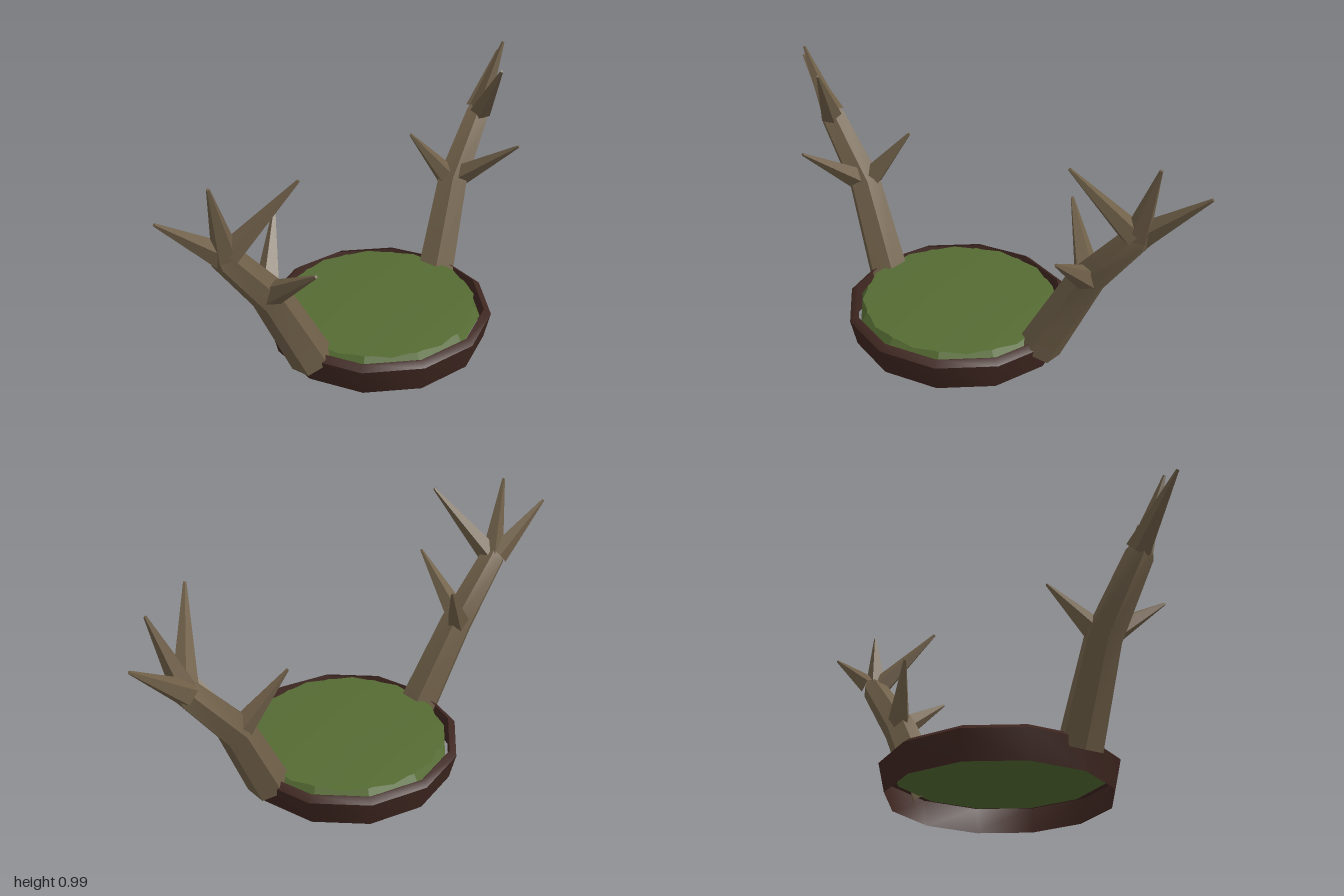
import * as THREE from 'three';
import { toCreasedNormals } from 'three/addons/utils/BufferGeometryUtils.js';

// Tapering branch: stations are [x, y, z, radius]; each cross-section is a regular polygon.
// The root is left open, the far end is capped.
function branchGeometry(stations, sides, mirror) {
  const centres = stations.map(([x, y, z]) => new THREE.Vector3(x * mirror, y, z));
  const rings = centres.map((c, i) => {
    const before = centres[Math.max(i - 1, 0)];
    const after = centres[Math.min(i + 1, centres.length - 1)];
    const t = after.clone().sub(before).normalize();
    const n = new THREE.Vector3(0, 0, 1);
    n.addScaledVector(t, -n.dot(t)).normalize();
    const b = t.clone().cross(n);
    return Array.from({ length: sides }, (_, k) => {
      const a = (k / sides) * Math.PI * 2;
      const r = stations[i][3];
      return c.clone().addScaledVector(n, Math.cos(a) * r).addScaledVector(b, Math.sin(a) * r);
    });
  });
  const pos = [];
  const tri = (...corners) => corners.forEach((p) => pos.push(p.x, p.y, p.z));
  const last = rings.length - 1;
  for (let k = 0; k < sides; k++) {
    const m = (k + 1) % sides;
    for (let i = 0; i < last; i++) {
      tri(rings[i][k], rings[i][m], rings[i + 1][m]);
      tri(rings[i][k], rings[i + 1][m], rings[i + 1][k]);
    }
    tri(centres[last], rings[last][k], rings[last][m]);
  }
  const geo = new THREE.BufferGeometry();
  geo.setAttribute('position', new THREE.Float32BufferAttribute(pos, 3));
  return toCreasedNormals(geo, 0.7);
}

export function createModel() {
  const bark = new THREE.MeshStandardMaterial({ name: 'bark', color: 0x706049 });
  const darkWood = new THREE.MeshStandardMaterial({
    name: 'dark wood', color: 0x3e2620, side: THREE.DoubleSide,
  });
  const moss = new THREE.MeshStandardMaterial({ name: 'moss', color: 0x556b33 });

  const model = new THREE.Group();
  model.name = 'antlerCrown';
  const add = (parent, name, geo, mat) => {
    const mesh = new THREE.Mesh(geo, mat);
    mesh.name = name;
    parent.add(mesh);
    return mesh;
  };

  // Thin open twelve-sided band with a bevelled upper rim
  const profile = [[0.43, 0], [0.455, 0.11], [0.43, 0.13], [0.426, 0.13]]
    .map(([r, y]) => new THREE.Vector2(r, y));
  add(model, 'band', toCreasedNormals(new THREE.LatheGeometry(profile, 12), 0.7), darkWood);

  // Moss pad: a sloping skirt with a flat underside, topped by a very shallow cone
  const skirt = toCreasedNormals(new THREE.CylinderGeometry(0.385, 0.41, 0.038, 12), 0.3);
  add(model, 'mossSkirt', skirt, moss).position.y = 0.116;
  const top = new THREE.ConeGeometry(0.392, 0.02, 12, 1, true, Math.PI / 12);
  add(model, 'mossTop', toCreasedNormals(top, 0.3), moss).position.y = 0.145;

  // Tines as [base, tip]
  const tines = {
    outerTine: [[0.775, 0.695, -0.065, 0.048], [0.995, 0.89, -0.107, 0.006]],
    upperTine: [[0.765, 0.695, -0.045, 0.048], [0.858, 0.99, 0, 0.006]],
    frontTine: [[0.755, 0.705, -0.03, 0.046], [0.608, 0.968, 0.15, 0.006]],
    innerTine: [[0.565, 0.45, -0.06, 0.05], [0.415, 0.677, -0.154, 0.006]],
    lowerFrontTine: [[0.595, 0.47, -0.01, 0.048], [0.635, 0.653, 0.235, 0.006]],
  };

  // Antlers, mirrored left and right
  for (const [side, mirror] of [['left', 1], ['right', -1]]) {
    const antler = new THREE.Group();
    antler.name = side + 'Antler';
    const beam = [
      [0.41, 0.088, -0.003, 0.085], [0.575, 0.44, -0.043, 0.07],
      [0.765, 0.685, -0.052, 0.054], [0.79, 0.73, -0.053, 0.03],
    ];
    add(antler, 'beam', branchGeometry(beam, 6, mirror), bark);
    for (const [name, path] of Object.entries(tines)) {
      add(antler, name, branchGeometry(path, 5, mirror), bark);
    }
    model.add(antler);
  }
  return model;
}
